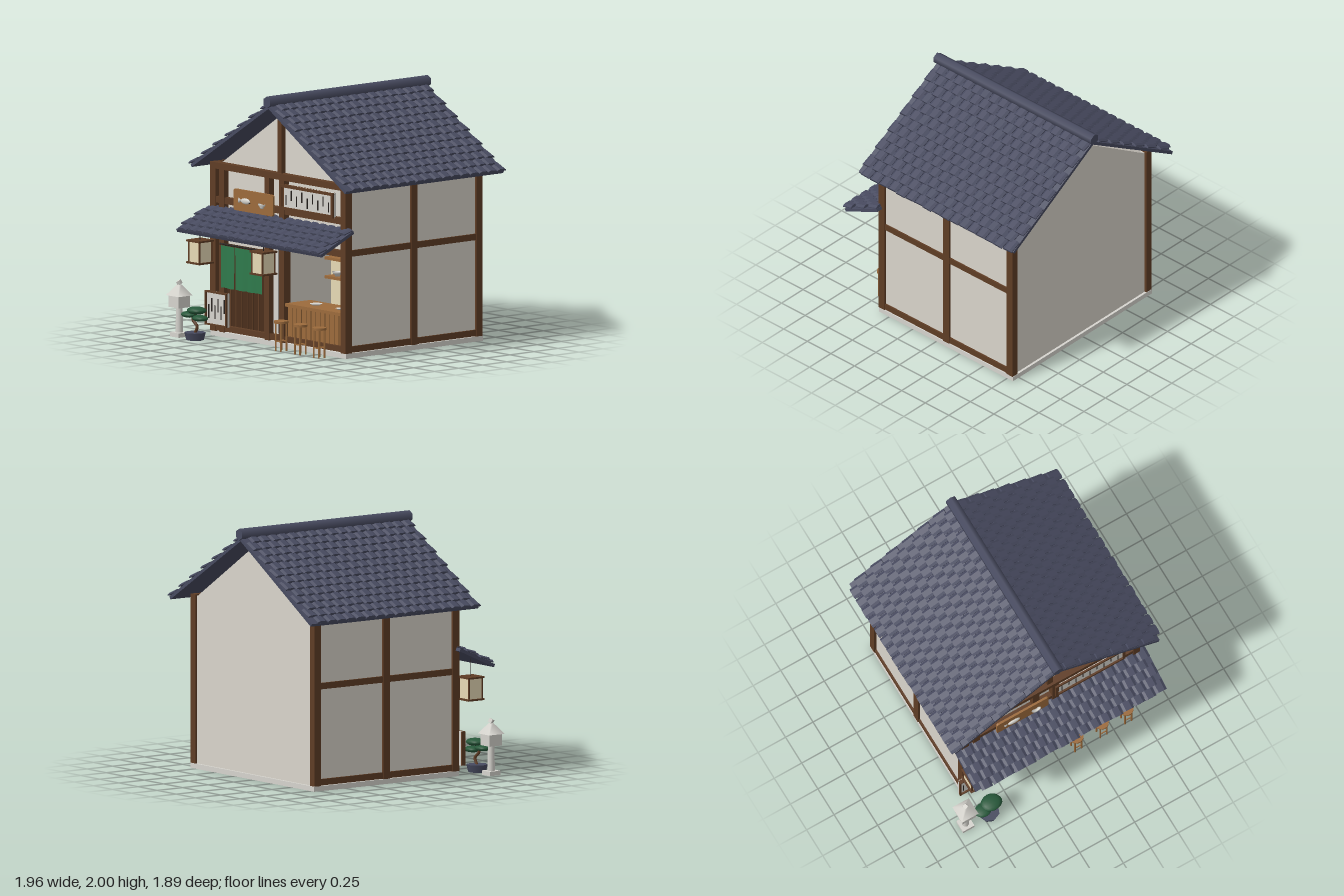
import * as THREE from 'three';
import { mergeGeometries } from 'three/addons/utils/BufferGeometryUtils.js';

const mat = (name, color, side = THREE.FrontSide) => {
  const m = new THREE.MeshStandardMaterial({ color, side });
  m.name = name;
  return m;
};
const M = {
  tile: mat('slate tile', 0x484b60),
  timber: mat('dark timber', 0x5f3d25),
  pine: mat('light wood', 0x9c6b3c),
  door: mat('door wood', 0x4a2e1b),
  plaster: mat('plaster', 0xdad5cb),
  cream: mat('cream paper', 0xe8dab6),
  stone: mat('pale stone', 0xd6d4ce),
  green: mat('green cloth', 0x2f7a4c, THREE.DoubleSide),
  leaf: mat('leaf green', 0x27583a),
  ink: mat('ink black', 0x2b2522),
};

function add(parent, name, geometry, material, x = 0, y = 0, z = 0) {
  const mesh = new THREE.Mesh(geometry, material);
  mesh.name = name;
  mesh.position.set(x, y, z);
  parent.add(mesh);
  return mesh;
}
// box given by its limits on each axis
const box = (p, name, m, x0, x1, y0, y1, z0, z1) => add(p, name,
  new THREE.BoxGeometry(x1 - x0, y1 - y0, z1 - z0), m, (x0 + x1) / 2, (y0 + y1) / 2, (z0 + z1) / 2);
const cyl = (p, name, m, rTop, rBottom, h, sides, x, y, z) =>
  add(p, name, new THREE.CylinderGeometry(rTop, rBottom, h, sides), m, x, y, z);
function group(parent, name, x = 0, y = 0, z = 0) {
  const g = new THREE.Group();
  g.name = name;
  g.position.set(x, y, z);
  parent.add(g);
  return g;
}
let seed = 7;
const jitter = (a) => {
  seed = (seed * 16807) % 2147483647;
  return (seed / 2147483647 - 0.5) * 2 * a;
};

// slab running down local +x, covered by staggered arched tiles
function tiledSlope(parent, name, length, width, rows, cols) {
  const g = group(parent, name);
  g.rotation.order = 'YXZ';
  box(g, 'roofBoard', M.tile, 0, length, -0.025, 0, -width / 2, width / 2);
  const w = width / (cols + 0.5), pitch = length / rows, h = w / 2 - 0.002;
  const arch = new THREE.Shape([[-h, 0], [h, 0], [h, 0.008], [h * 0.55, 0.02], [-h * 0.55, 0.02], [-h, 0.008]]
    .map(([x, y]) => new THREE.Vector2(x, y)));
  const tile = new THREE.ExtrudeGeometry(arch, { depth: pitch * 1.25, bevelEnabled: false })
    .rotateY(Math.PI / 2).rotateZ(0.14);
  const tiles = [];
  for (let r = 0; r < rows; r++) for (let c = 0; c < cols; c++) {
    const z = -width / 2 + w * (c + 0.5 + (r % 2) * 0.5);
    tiles.push(tile.clone().rotateY(jitter(0.04)).translate(r * pitch + jitter(0.004), 0, z));
  }
  add(g, 'tiles', mergeGeometries(tiles), M.tile);
  return g;
}

function buildWalls(g) {
  box(g, 'baseSlab', M.stone, -0.8, 0.82, 0, 0.04, -0.81, 0.61);
  box(g, 'rearWalls', M.plaster, -0.78, 0.8, 0.04, 1.37, -0.79, 0.1);
  box(g, 'frontLeftWall', M.plaster, -0.78, 0.06, 0.04, 1.37, 0.1, 0.565);
  box(g, 'upperRightWall', M.plaster, 0.06, 0.8, 0.81, 1.37, 0.1, 0.565);
  box(g, 'shopSideWall', M.plaster, 0.775, 0.8, 0.04, 0.81, 0.1, 0.565);
  box(g, 'shopBackWall', M.cream, 0.06, 0.775, 0.04, 0.81, 0.1, 0.108);
  const tri = new THREE.Shape([new THREE.Vector2(-0.73, 1.37), new THREE.Vector2(0.75, 1.37), new THREE.Vector2(0.01, 1.85)]);
  add(g, 'gables', new THREE.ExtrudeGeometry(tri, { depth: 1.35, bevelEnabled: false }), M.plaster, 0, 0, -0.79);

  // front timber frame
  for (const [x, w] of [[-0.768, 0.064], [-0.668, 0.06], [-0.125, 0.055], [0.052, 0.06], [0.79, 0.06]])
    box(g, 'frontPost', M.timber, x - w / 2, x + w / 2, 0.04, 1.37, 0.55, 0.615);
  for (const [y, h, z] of [[1.355, 0.05, 0.62], [1.085, 0.05, 0.61], [0.825, 0.05, 0.61], [0.07, 0.045, 0.61]])
    box(g, 'frontBeam', M.timber, -0.8, 0.82, y - h / 2, y + h / 2, 0.55, z);
  box(g, 'gablePost', M.timber, -0.015, 0.035, 1.37, 1.85, 0.55, 0.6);

  // side timber frames
  for (const [x0, x1] of [[-0.8, -0.74], [0.76, 0.82]]) {
    for (const z of [0.582, -0.1, -0.775])
      box(g, 'sidePost', M.timber, x0, x1, 0.04, 1.38, z - 0.032, z + 0.032);
    for (const [y, h] of [[1.355, 0.05], [0.83, 0.05], [0.068, 0.05]]) {
      const inset = x0 < 0 ? [x0 + 0.006, -0.77] : [0.79, x1 - 0.006];
      box(g, 'sideBeam', M.timber, inset[0], inset[1], y - h / 2, y + h / 2, -0.775, 0.58);
    }
  }
}

// framed pale panel with staggered dark bars
function barredPanel(parent, name, x0, x1, y0, y1, z, bars, frame) {
  const g = group(parent, name);
  box(g, 'paper', M.stone, x0, x1, y0, y1, z - 0.02, z);
  for (const y of [y0, y1 - frame]) box(g, 'rail', M.timber, x0, x1, y, y + frame, z - 0.02, z + 0.015);
  for (const x of [x0, x1 - frame]) box(g, 'stile', M.timber, x, x + frame, y0, y1, z - 0.02, z + 0.015);
  const h = y1 - y0;
  for (let i = 0; i < bars; i++) {
    const x = x0 + (x1 - x0) * (i + 1) / (bars + 1), y = (y0 + y1) / 2 + (i % 2 ? 0.1 : -0.1) * h;
    box(g, 'bar', M.ink, x - 0.004, x + 0.004, y - h * 0.2, y + h * 0.2, z, z + 0.006);
  }
}

function buildEntrance(g) {
  box(g, 'door', M.door, -0.64, -0.15, 0.09, 0.74, 0.56, 0.575);
  for (let i = 0; i < 7; i++)
    box(g, 'doorSlat', M.timber, -0.6 + i * 0.067, -0.592 + i * 0.067, 0.09, 0.74, 0.575, 0.582);
  box(g, 'slidingPanel', M.stone, -0.09, 0.02, 0.1, 0.8, 0.565, 0.574);
  box(g, 'slidingPanelEdge', M.ink, -0.028, -0.022, 0.1, 0.8, 0.574, 0.578);
  // curtain rod and three hanging cloths
  cyl(g, 'curtainRod', M.ink, 0.007, 0.007, 0.52, 8, -0.39, 0.748, 0.645).rotation.z = Math.PI / 2;
  for (let i = 0; i < 3; i++) {
    const cloth = new THREE.PlaneGeometry(0.16, 0.335, 10, 6), p = cloth.attributes.position;
    for (let k = 0; k < p.count; k++)
      p.setZ(k, 0.009 * Math.sin(p.getX(k) * 36 + i * 2) * (0.6 - p.getY(k) * 2));
    cloth.computeVertexNormals();
    add(g, 'curtain', cloth, M.green, -0.56 + i * 0.167, 0.568, 0.642);
  }
  barredPanel(g, 'lowScreen', -0.835, -0.575, 0.085, 0.355, 0.63, 6, 0.012);
  barredPanel(g, 'upperWindow', 0.045, 0.68, 1.1, 1.3, 0.615, 9, 0.022);
}

// small bowl turned from a profile
const bowlGeometry = () => new THREE.LatheGeometry(
  [[0, 0], [0.02, 0], [0.02, 0.008], [0.036, 0.02], [0.044, 0.036], [0.038, 0.034], [0.026, 0.018], [0, 0.012]]
    .map(([x, y]) => new THREE.Vector2(x, y)), 16);

function buildShop(g) {
  box(g, 'counterBody', M.pine, 0.085, 0.755, 0.05, 0.33, 0.4, 0.57);
  box(g, 'counterTop', M.pine, 0.08, 0.765, 0.33, 0.355, 0.34, 0.605);
  for (let i = 0; i < 12; i++)
    box(g, 'counterPlank', M.pine, 0.09 + i * 0.056, 0.138 + i * 0.056, 0.09, 0.33, 0.57, 0.582);
  for (let i = 0; i < 11; i++)
    box(g, 'plankGap', M.door, 0.138 + i * 0.056, 0.146 + i * 0.056, 0.09, 0.33, 0.57, 0.573);
  for (const y of [0.68, 0.53]) box(g, 'shelf', M.pine, 0.11, 0.7, y - 0.011, y + 0.011, 0.108, 0.22);
  for (const [x, y] of [[0.55, 0.691], [0.21, 0.541], [0.645, 0.541]])
    add(g, 'bowl', bowlGeometry(), M.stone, x, y, 0.17);
  cyl(g, 'cup', M.pine, 0.03, 0.026, 0.07, 12, 0.38, 0.576, 0.17);
  for (const x of [0.31, 0.62]) cyl(g, 'plate', M.stone, 0.05, 0.03, 0.012, 16, x, 0.361, 0.48);
  // stools
  for (const x of [0.175, 0.405, 0.63]) {
    const s = group(g, 'stool', x, 0, 0.725);
    cyl(s, 'seat', M.pine, 0.057, 0.057, 0.018, 16, 0, 0.231, 0);
    for (const a of [0, 1, 2, 3].map((k) => Math.PI / 4 + k * Math.PI / 2))
      cyl(s, 'leg', M.pine, 0.007, 0.007, 0.224, 6, Math.cos(a) * 0.042, 0.112, Math.sin(a) * 0.042);
    for (const z of [-0.03, 0.03]) box(s, 'rung', M.pine, -0.03, 0.03, 0.075, 0.085, z - 0.004, z + 0.004);
  }
}

function buildSign(g) {
  const s = new THREE.Shape(), w = 0.235, h = 0.085, r = 0.02;
  s.moveTo(-w + r, -h).lineTo(w - r, -h).quadraticCurveTo(w, -h, w, -h + r).lineTo(w, h - r).quadraticCurveTo(w, h, w - r, h)
    .lineTo(-w + r, h).quadraticCurveTo(-w, h, -w, h - r).lineTo(-w, -h + r).quadraticCurveTo(-w, -h, -w + r, -h);
  const sign = group(g, 'signBoard', -0.26, 1.118, 0.62);
  add(sign, 'board', new THREE.ExtrudeGeometry(s, { depth: 0.018, bevelEnabled: false }), M.pine);
  add(sign, 'fishBody', new THREE.SphereGeometry(1, 16, 10), M.stone, -0.085, 0, 0.024).scale.set(0.055, 0.024, 0.014);
  const tail = add(sign, 'fishTail', new THREE.ConeGeometry(0.024, 0.04, 4), M.stone, -0.148, 0, 0.024);
  tail.rotation.z = -Math.PI / 2;
  tail.scale.z = 0.35;
  add(sign, 'fishFin', new THREE.ConeGeometry(0.014, 0.03, 4), M.ink, -0.04, 0, 0.024).scale.z = 0.4;
  add(sign, 'signBowl', bowlGeometry(), M.stone, 0.115, -0.034, 0.03).scale.set(0.95, 1, 0.4);
}

function buildLantern(g, x) {
  const l = group(g, 'hangingLantern', x, 0, 0.75);
  box(l, 'paper', M.cream, -0.062, 0.062, 0.6, 0.765, -0.062, 0.062);
  for (const y of [0.588, 0.762]) box(l, 'cap', M.timber, -0.078, 0.078, y, y + 0.014, -0.078, 0.078);
  for (const sx of [-0.063, 0.063]) for (const sz of [-0.063, 0.063])
    box(l, 'corner', M.timber, sx - 0.006, sx + 0.006, 0.59, 0.77, sz - 0.006, sz + 0.006);
  cyl(l, 'hanger', M.ink, 0.004, 0.004, 0.14, 6, 0, 0.845, 0);
}

function buildGarden(g) {
  // stone lantern
  const s = group(g, 'stoneLantern', -0.905, 0, 0.845);
  box(s, 'foot', M.stone, -0.052, 0.052, 0, 0.035, -0.052, 0.052);
  cyl(s, 'pillar', M.stone, 0.026, 0.03, 0.2, 8, 0, 0.135, 0);
  box(s, 'lightBox', M.stone, -0.06, 0.06, 0.235, 0.33, -0.06, 0.06);
  add(s, 'cap', new THREE.CylinderGeometry(0.018, 0.106, 0.085, 4), M.stone, 0, 0.37, 0).rotation.y = Math.PI / 4;
  box(s, 'finial', M.stone, -0.016, 0.016, 0.413, 0.445, -0.016, 0.016).rotation.set(0.3, 0.4, 0.3);
  // potted tree
  const b = group(g, 'pottedTree', -0.7, 0, 0.86);
  cyl(b, 'pot', M.tile, 0.085, 0.07, 0.06, 8, 0, 0.03, 0);
  const path = new THREE.CatmullRomCurve3([[0, 0.05, 0], [0.025, 0.11, 0], [-0.015, 0.16, 0.01], [0.01, 0.23, 0]]
    .map((p) => new THREE.Vector3(...p)));
  add(b, 'trunk', new THREE.TubeGeometry(path, 12, 0.012, 7), M.timber);
  for (const [x, y, z, r] of [[0.02, 0.235, 0, 0.085], [-0.06, 0.195, 0.01, 0.07], [0.05, 0.175, -0.01, 0.07]])
    add(b, 'foliage', new THREE.IcosahedronGeometry(r, 2), M.leaf, x, y, z).scale.set(1, 0.36, 0.85);
}

export function createModel() {
  const root = new THREE.Group();
  root.name = 'ramenHouse';
  buildWalls(root);
  buildEntrance(root);
  buildShop(root);
  buildSign(root);
  buildLantern(root, -0.765);
  buildLantern(root, -0.01);
  buildGarden(root);

  // main roof, ridge and awning
  for (const side of [0, 1]) {
    const slope = tiledSlope(root, side ? 'leftRoof' : 'rightRoof', 1.095, 1.64, 13, 17);
    slope.position.set(0.01, 1.93, -0.105);
    slope.rotation.set(0, side * Math.PI, -0.555);
  }
  cyl(root, 'ridgeBeam', M.tile, 0.046, 0.046, 1.67, 6, 0.01, 1.955, -0.105).rotation.x = Math.PI / 2;
  const awning = tiledSlope(root, 'awning', 0.37, 1.73, 5, 17);
  awning.position.set(0.01, 1.02, 0.585);
  awning.rotation.set(0, -Math.PI / 2, -0.43);
  return root;
}
